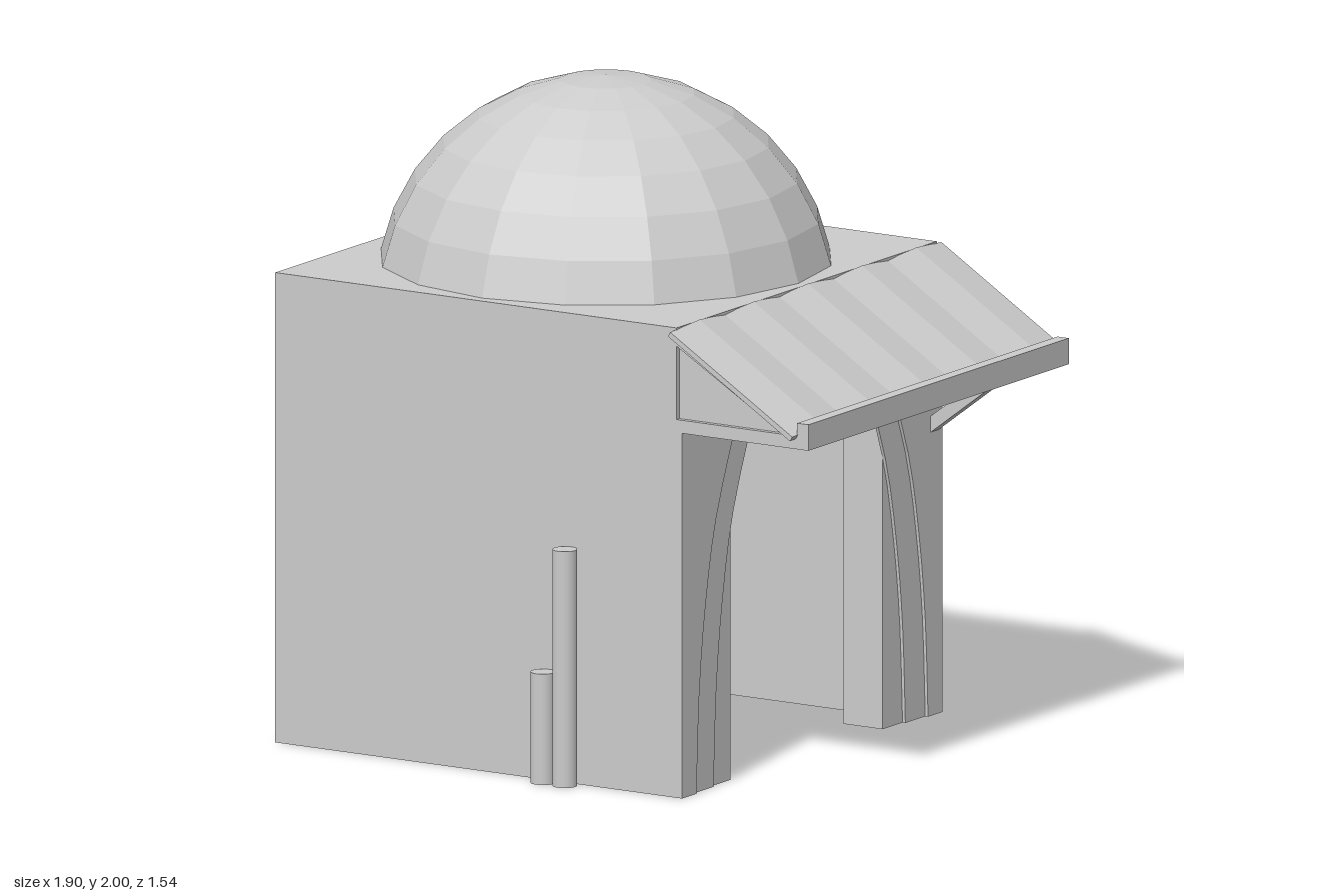
import * as THREE from 'three';

export function createModel() {
  const model = new THREE.Group();
  model.name = 'domedHouse';
  const plaster = new THREE.MeshStandardMaterial({ color: 0xcccccc });
  plaster.name = 'grey plaster';

  const CX = -0.235, CZ = -0.02;          // centre of the room
  const HX = 0.715, HZ = 0.72, H = 1.44;  // half sizes and height
  const WALL = 0.14, CEILING = 1.29;

  const add = (name, geometry, x = 0, y = 0, z = 0) => {
    const mesh = new THREE.Mesh(geometry, plaster);
    mesh.name = name;
    mesh.position.set(x, y, z);
    model.add(mesh);
    return mesh;
  };
  const box = (name, x0, x1, y0, y1, z0, z1) =>
    add(name, new THREE.BoxGeometry(x1 - x0, y1 - y0, z1 - z0), (x0 + x1) / 2, (y0 + y1) / 2, (z0 + z1) / 2);
  const polygon = (points) => new THREE.Shape(points.map(([x, y]) => new THREE.Vector2(x, y)));
  const extrude = (shape, depth) => new THREE.ExtrudeGeometry(shape, { depth, bevelEnabled: false });
  // Extrusion along +x, drawn in the plane of the doorway
  const facade = (name, shape, depth, x) => add(name, extrude(shape, depth).rotateY(Math.PI / 2), x, 0, CZ);
  const flat = (geometry) => {
    const g = geometry.toNonIndexed();
    g.computeVertexNormals();
    return g;
  };

  // Three closed walls, open towards the doorway and below
  const ix = HX - WALL, iz = HZ - WALL;
  const walls = polygon([[HX - WALL, -HZ], [HX - WALL, -iz], [-ix, -iz], [-ix, iz],
    [HX - WALL, iz], [HX - WALL, HZ], [-HX, HZ], [-HX, -HZ]]);
  add('walls', extrude(walls, H).rotateX(-Math.PI / 2), CX, 0, CZ);

  // Doorway wall with a rectangular opening
  const D = 0.42;
  facade('doorwayWall', polygon([[-HZ, 0], [-D, 0], [-D, 1.08], [D, 1.08], [D, 0], [HZ, 0], [HZ, H], [-HZ, H]]),
    WALL, CX + HX - WALL);

  // Two thin stepped arch layers on each side of the doorway
  const curve = new THREE.SplineCurve([[0.53, 0], [0.515, 0.3], [0.48, 0.57], [0.42, 0.83], [0.30, 1.12]]
    .map(([x, y]) => new THREE.Vector2(x, y))).getPoints(12);
  for (const s of [-1, 1]) {
    const leg = (offset, edge) => polygon([[s * edge, 0], ...curve.map((p) => [s * (p.x + offset), p.y]), [s * edge, 1.12]]);
    facade('innerArch', leg(0, 0.68), 0.01, 0.48);
    facade('outerArch', leg(0.11, HZ), 0.02, 0.48);
  }

  // Roof and ceiling, both with a round opening under the dome
  const ring = (radius) => {
    const shape = polygon([[-HX, -HZ], [HX, -HZ], [HX, HZ], [-HX, HZ]]);
    const hole = new THREE.Path();
    for (let i = 0; i <= 16; i++) {
      const a = -i * Math.PI / 8;
      hole[i ? 'lineTo' : 'moveTo'](radius * Math.cos(a), radius * Math.sin(a));
    }
    shape.holes.push(hole);
    return extrude(shape, 0.005).rotateX(-Math.PI / 2);
  };
  add('roof', ring(0.68), CX, H - 0.004, CZ);
  add('ceiling', ring(0.56), CX, CEILING, CZ).scale.set(0.99, 1, 0.99);

  // Faceted dome and its inner shell
  add('dome', flat(new THREE.SphereGeometry(0.7, 16, 7, 0, Math.PI * 2, 0, Math.PI * 7 / 16)), CX, 1.3, CZ);
  const inner = new THREE.SphereGeometry(0.56, 16, 8, 0, Math.PI * 2, 0, Math.PI / 2).scale(-1, 1, 1);
  add('domeInterior', flat(inner), CX, CEILING, CZ);

  // Corrugated sloping awning
  const upper = [], lower = [], half = 0.75;
  for (let i = 0; i <= 10; i++) {
    const z = -half + i * half / 5, y = i % 2 ? 0.008 : -0.006;
    upper.unshift([z, y]);
    lower.push([z, y - 0.016]);
  }
  const slope = Math.atan2(0.27, 0.435);
  const sheet = extrude(polygon([...lower, ...upper]), 0.512).rotateY(Math.PI / 2).rotateZ(-slope);
  add('awning', sheet, 0.48, 1.438, CZ);

  // Awning frame: eave beam, end bars, rafters, side panel and one brace
  box('eaveBeam', 0.91, 0.95, 1.12, 1.2, -0.74, 0.70);
  for (const [z0, z1] of [[-0.74, -0.70], [0.66, 0.70]]) {
    box('endBar', 0.48, 0.91, 1.12, 1.16, z0, z1);
    const rafter = extrude(polygon([[0.48, 1.42], [0.48, 1.385], [0.86, 1.16], [0.91, 1.16]]), z1 - z0);
    add('rafter', rafter, 0, 0, z0);
  }
  add('sidePanel', extrude(polygon([[0.48, 1.16], [0.88, 1.16], [0.48, 1.41]]), 0.008), 0, 0, 0.675);
  const brace = polygon([[0.50, 0.87], [0.83, 1.12], [0.77, 1.12], [0.50, 0.92]]);
  add('brace', extrude(brace, 0.045), 0, 0, -0.72);

  // Two upright pipes beside the front wall
  for (const [name, x, h] of [['shortPipe', 0.027, 0.34], ['tallPipe', 0.105, 0.725]]) {
    add(name, new THREE.CylinderGeometry(0.038, 0.038, h, 16), x, h / 2, 0.736);
  }
  return model;
}
